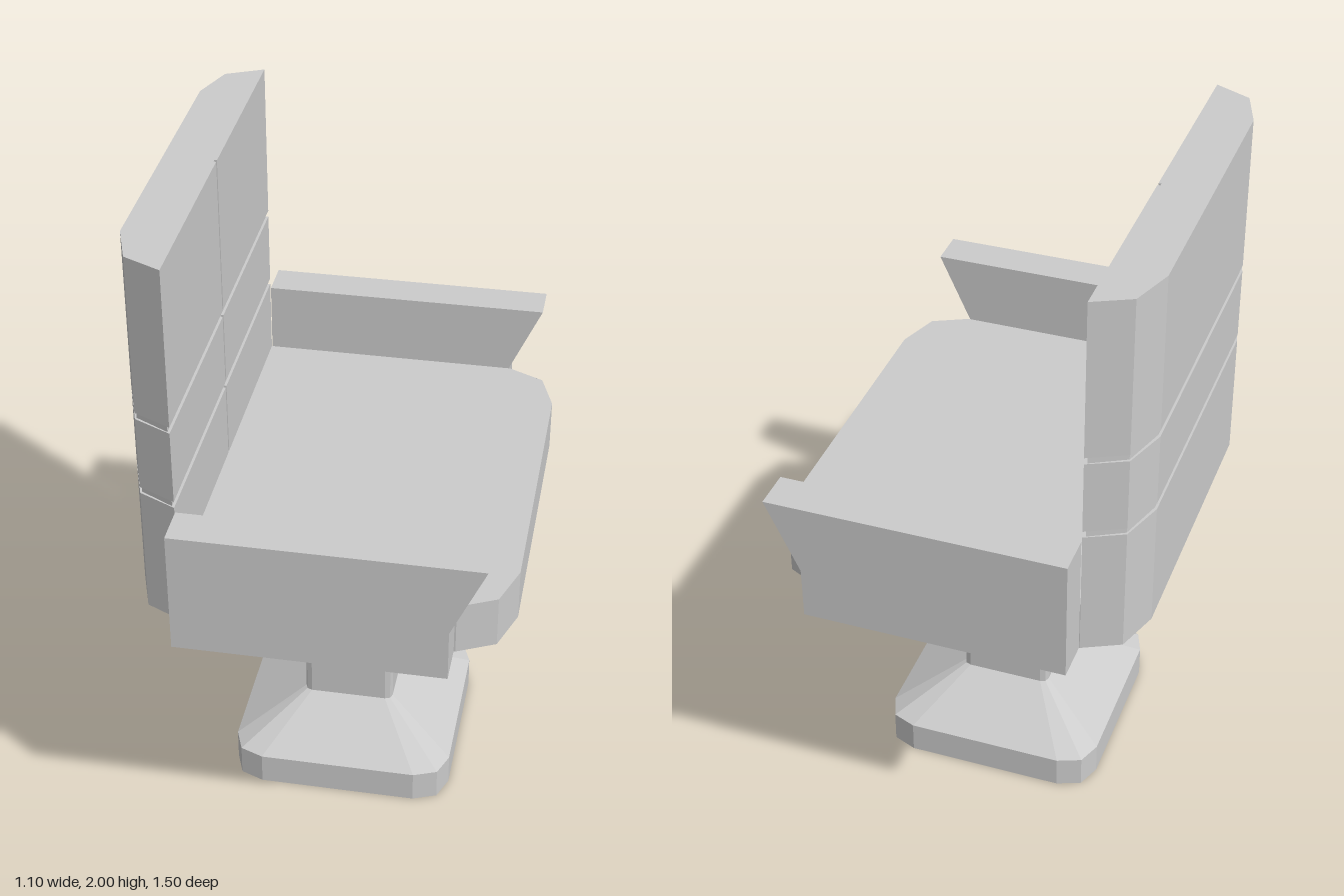
import * as THREE from 'three';

const material = new THREE.MeshStandardMaterial({ color: 0xcccccc, flatShading: true, side: THREE.DoubleSide });

// Rectangle with two-facet corners; c and m are the outer and middle insets in x, d and n in z.
function facetedRect(hx, hz, c, m, d = c, n = m) {
  const corner = [[hx, hz - d], [hx - m, hz - n], [hx - c, hz]];
  const flip = (sx, sz, list) => list.map(([x, z]) => [x * sx, z * sz]);
  const back = [...corner].reverse();
  return [...corner, ...flip(-1, 1, back), ...flip(-1, -1, corner), ...flip(1, -1, back)];
}

// Joins counter-clockwise outlines, given as [points, height], and caps both ends.
function loft(name, sections) {
  const pos = [];
  const put = ([x, w], y) => pos.push(x, y, -w);
  for (let s = 0; s < sections.length - 1; s++) {
    const [a, ya] = sections[s], [b, yb] = sections[s + 1];
    a.forEach((p, i) => {
      const j = (i + 1) % a.length;
      put(p, ya); put(a[j], ya); put(b[j], yb);
      put(p, ya); put(b[j], yb); put(b[i], yb);
    });
  }
  const cap = ([pts, y], up) => {
    const contour = pts.map(([x, w]) => new THREE.Vector2(x, w));
    for (const [a, b, c] of THREE.ShapeUtils.triangulateShape(contour, [])) {
      for (const i of up ? [a, b, c] : [a, c, b]) put(pts[i], y);
    }
  };
  cap(sections[0], false);
  cap(sections[sections.length - 1], true);
  const geometry = new THREE.BufferGeometry();
  geometry.setAttribute('position', new THREE.Float32BufferAttribute(pos, 3));
  geometry.computeVertexNormals();
  const mesh = new THREE.Mesh(geometry, material);
  mesh.name = name;
  return mesh;
}

export function createModel() {
  const chair = new THREE.Group();
  chair.name = 'pedestalChair';

  // Flared foot and column
  const foot = facetedRect(0.342, 0.342, 0.1, 0.028);
  const post = facetedRect(0.14, 0.14, 0.022, 0.006);
  chair.add(loft('base', [[foot, 0], [foot, 0.1], [post, 0.225]]));
  chair.add(loft('column', [[post, 0.225], [post, 0.86]]));

  // Seat slab
  const seat = facetedRect(0.55, 0.628, 0.155, 0.045, 0.185, 0.053);
  chair.add(loft('seat', [[seat, 0.86], [seat, 1.02]]));

  // Backrest with a vertical seam in front and two grooves all round
  const back = [
    [-0.395, -0.628], [-0.395, -0.005], [-0.403, -0.005], [-0.403, 0.005], [-0.395, 0.005], [-0.395, 0.628],
    [-0.505, 0.575], [-0.55, 0.443], [-0.55, -0.443], [-0.505, -0.575],
  ];
  const inset = back.map(([x, w]) => [-0.4725 + (x + 0.4725) * 0.9, w * 0.988]);
  const sections = [[back, 1.02]];
  for (const y of [1.265, 1.51]) {
    sections.push([back, y - 0.01], [inset, y - 0.01], [inset, y + 0.01], [back, y + 0.01]);
  }
  sections.push([back, 2]);
  chair.add(loft('backrest', sections));

  // Armrests with a raked front edge
  const profile = new THREE.Shape(
    [[-0.393, 0.86], [0.39, 0.86], [0.39, 1.02], [0.49, 1.24], [-0.393, 1.24]].map(([x, y]) => new THREE.Vector2(x, y)));
  const armGeometry = new THREE.ExtrudeGeometry(profile, { depth: 0.12, bevelEnabled: false });
  for (const [name, z] of [['frontArmrest', 0.628], ['rearArmrest', -0.748]]) {
    const arm = new THREE.Mesh(armGeometry, material);
    arm.name = name;
    arm.position.z = z;
    chair.add(arm);
  }
  return chair;
}
